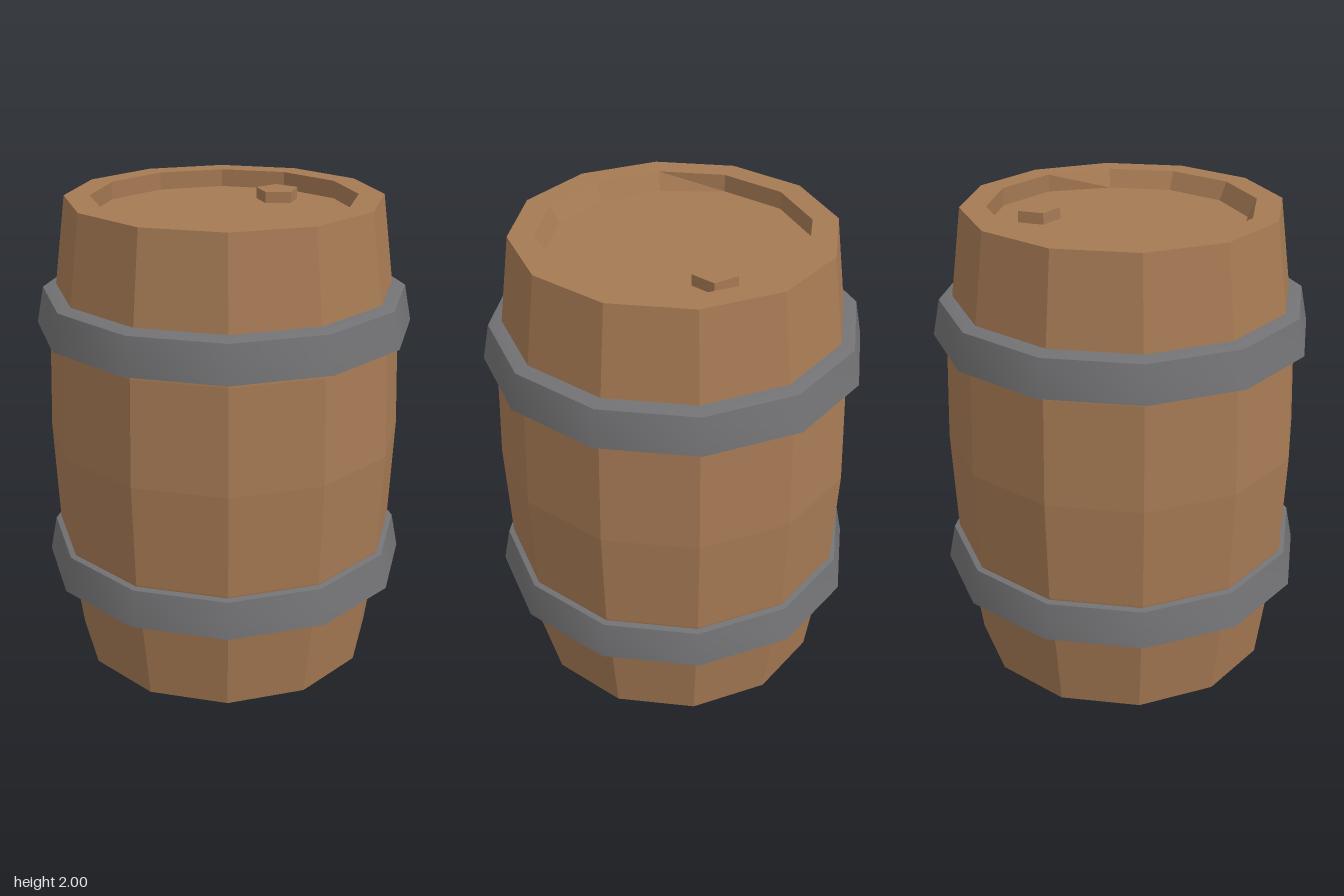
import * as THREE from 'three';
import { toCreasedNormals } from 'three/addons/utils/BufferGeometryUtils.js';

const SIDES = 12;

const wood = new THREE.MeshStandardMaterial({ color: 0xa67a54, flatShading: true });
wood.name = 'wood';
const iron = new THREE.MeshStandardMaterial({ color: 0x727274 });
iron.name = 'iron';

const lathe = (profile) =>
  new THREE.LatheGeometry(profile.map(([r, y]) => new THREE.Vector2(r, y)), SIDES);

// Bulging staves with a recessed head at each end, as one closed skin
function createBody() {
  const headRadius = 0.51;
  const lower = [
    [0, 0.075], [headRadius, 0.075], [0.545, 0], [0.65, 0], [0.70, 0.37], [0.733, 0.56],
  ];
  const upper = lower.map(([r, y]) => [r, 2 - y]).reverse();
  const geometry = lathe([...lower, [0.75, 1], ...upper]);

  // The head walls lean inward at the front and stand upright at the back
  const p = geometry.attributes.position;
  for (let i = 0; i < p.count; i++) {
    const x = p.getX(i), z = p.getZ(i);
    if (z < 0.001 && Math.abs(Math.hypot(x, z) - headRadius) < 0.001) {
      const s = 0.547 / headRadius;
      p.setX(i, x * s);
      p.setZ(i, z * s);
    }
  }
  const body = new THREE.Mesh(geometry, wood);
  body.name = 'barrelBody';
  return body;
}

// Flared hoop, wider at its lower edge
function createHoop(name, y) {
  const geometry = lathe([
    [0.67, 0], [0.70, 0], [0.785, 0.025], [0.755, 0.177], [0.70, 0.192], [0.67, 0.192], [0.67, 0],
  ]);
  const hoop = new THREE.Mesh(toCreasedNormals(geometry, 0.56), iron);
  hoop.name = name;
  hoop.position.y = y;
  return hoop;
}

// Five-sided bung on the top head, one corner pointing back
function createBung() {
  const bung = new THREE.Mesh(new THREE.CylinderGeometry(0.092, 0.092, 0.052, 5), wood);
  bung.name = 'bung';
  bung.rotation.y = Math.PI;
  bung.position.set(0.23, 1.946, -0.259);
  return bung;
}

export function createModel() {
  const barrel = new THREE.Group();
  barrel.name = 'barrel';
  barrel.add(
    createBody(),
    createHoop('lowerHoop', 0.37),
    createHoop('upperHoop', 1.442),
    createBung(),
  );
  return barrel;
}
